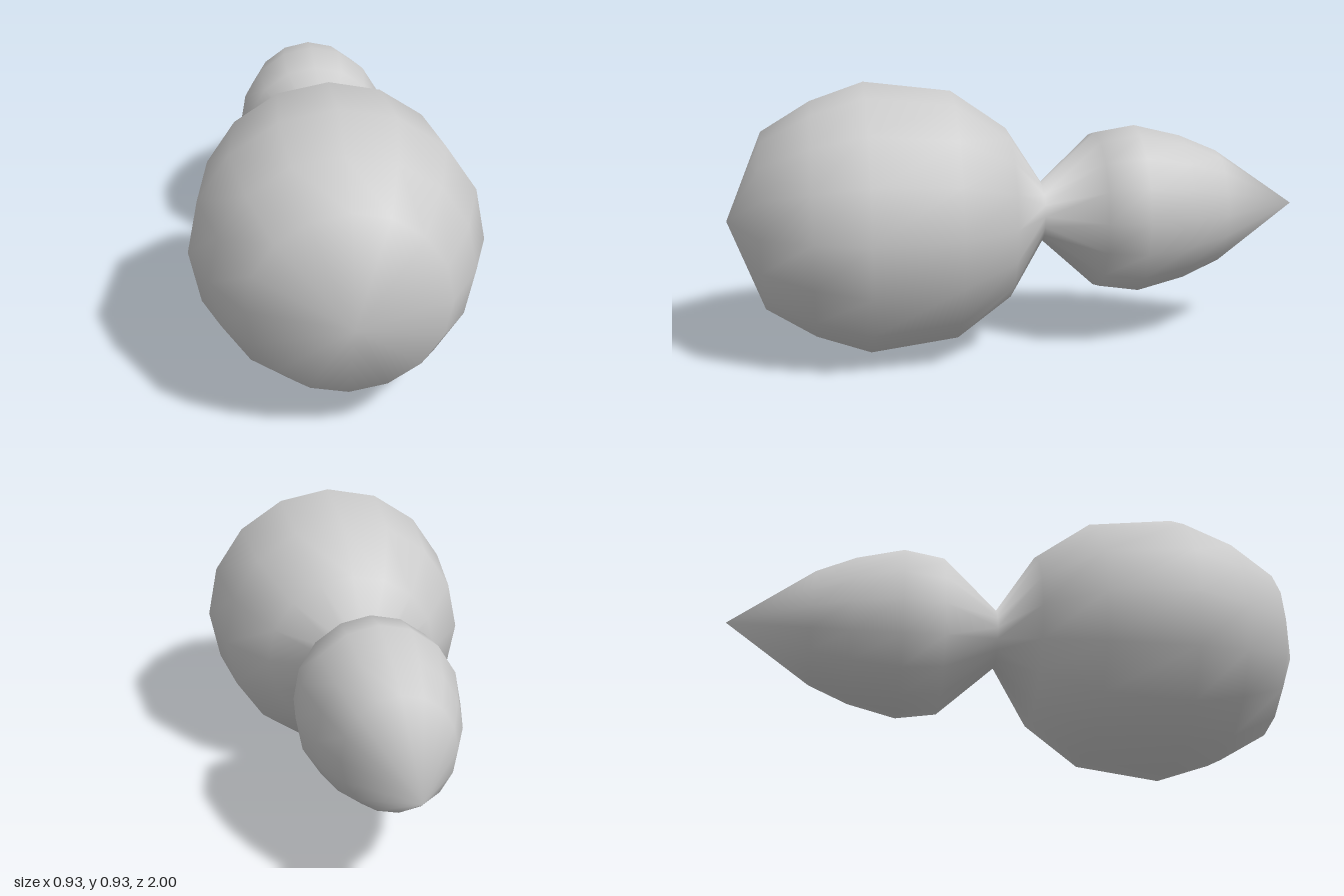
import * as THREE from 'three';
import { mergeVertices } from 'three/addons/utils/BufferGeometryUtils.js';

const SIDES = 16;
const CENTRE_Y = 0.467;

// Rings from the pointed back tip to the rounded front: [z, half height, half width]
const RINGS = [
  [-1, 0, 0],
  [-0.71, 0.2, 0.18],
  [-0.575, 0.257, 0.232],
  [-0.41, 0.297, 0.27],
  [-0.27, 0.275, 0.256],
  [-0.08, 0.102, 0.1],
  [0.045, 0.297, 0.297],
  [0.235, 0.429, 0.429],
  [0.53, 0.465, 0.465],
  [0.71, 0.403, 0.403],
  [0.875, 0.303, 0.303],
  [1, 0, 0],
];

export function createModel() {
  const model = new THREE.Group();
  model.name = 'gourdBody';

  // Turned profile, laid along z
  const profile = RINGS.map(([z, r]) => new THREE.Vector2(r, z));
  let geometry = new THREE.LatheGeometry(profile, SIDES);
  geometry.rotateX(Math.PI / 2);

  // Narrow the back lobe sideways; lathe vertices run ring by ring within each side
  const pos = geometry.attributes.position;
  for (let i = 0; i < pos.count; i++) {
    const [, height, width] = RINGS[i % RINGS.length];
    if (height > 0) pos.setX(i, pos.getX(i) * width / height);
  }

  // Weld the seam and tips so the shading is smooth all round
  geometry.deleteAttribute('uv');
  geometry.deleteAttribute('normal');
  geometry = mergeVertices(geometry, 1e-4);
  geometry.computeVertexNormals();

  const body = new THREE.Mesh(geometry, new THREE.MeshStandardMaterial({ color: 0xcccccc }));
  body.name = 'twoLobedBody';
  body.position.y = CENTRE_Y;
  model.add(body);
  return model;
}
